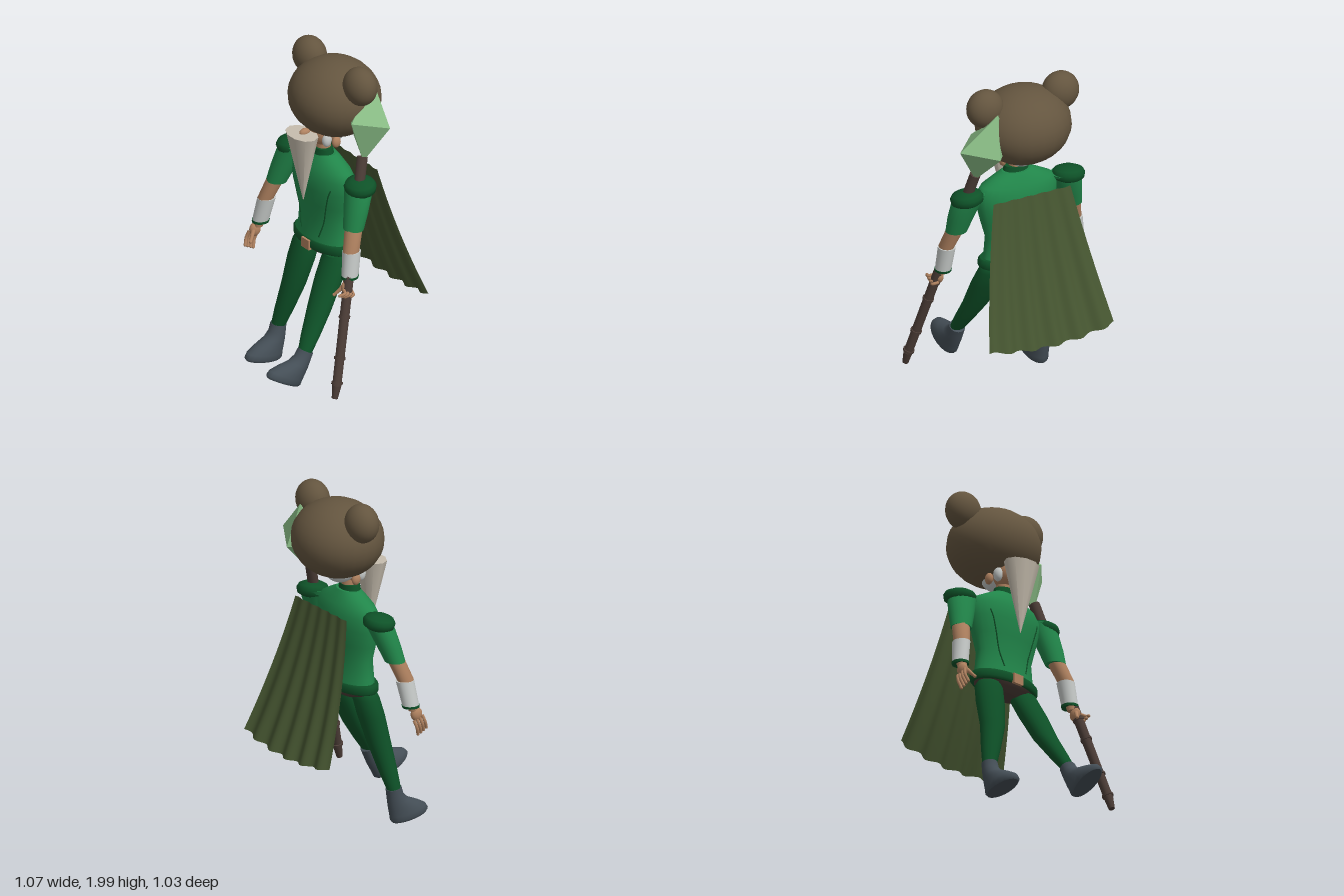
import * as THREE from 'three';

const mat = (name, color, extra = {}) => Object.assign(new THREE.MeshStandardMaterial({ color, ...extra }), { name });
const M = {
  fur: mat('brown fur', 0x64553f),
  shirt: mat('shirt green', 0x21864a),
  dark: mat('dark green', 0x0e5228),
  cape: mat('olive', 0x465631, { side: THREE.DoubleSide }),
  skin: mat('skin', 0xb08260),
  white: mat('pale grey', 0xc6cac8),
  beard: mat('ivory', 0xc6bdae),
  boot: mat('slate', 0x444e56),
  wood: mat('dark wood', 0x4c3d37),
  gem: mat('pale green', 0x8cc088, { flatShading: true }),
};
const V = (x, y, z) => new THREE.Vector3(x, y, z);
const CX = -0.03;

export function createModel() {
  const model = new THREE.Group();
  const add = (name, geo, material, parent = model) => {
    const mesh = new THREE.Mesh(geo, material);
    mesh.name = name;
    parent.add(mesh);
    return mesh;
  };
  const ball = (name, material, p, r, parent = model) => {
    const mesh = add(name, new THREE.SphereGeometry(1, 24, 16), material, parent);
    mesh.position.set(...p);
    mesh.scale.set(...r);
    return mesh;
  };
  // straight round bar between two points
  const rod = (name, material, a, b, ra, rb, parent = model) => {
    const mesh = add(name, new THREE.CylinderGeometry(rb, ra, a.distanceTo(b), 12), material, parent);
    mesh.position.copy(a).lerp(b, 0.5);
    mesh.quaternion.setFromUnitVectors(V(0, 1, 0), b.clone().sub(a).normalize());
    return mesh;
  };
  // capped skin over level ellipses, listed from the bottom up: [x, y, z, rx, rz]
  const loft = (rings, n = 20) => {
    const pos = [], idx = [];
    const ring = ([x, y, z, rx, rz = rx]) => {
      for (let i = 0; i < n; i++) {
        const a = (i / n) * Math.PI * 2;
        pos.push(x + rx * Math.cos(a), y, z + rz * Math.sin(a));
      }
    };
    rings.forEach(ring);
    for (let r = 0; r < rings.length - 1; r++) for (let i = 0; i < n; i++) {
      const a = r * n + i, b = r * n + (i + 1) % n;
      idx.push(a, a + n, b, b, a + n, b + n);
    }
    [rings[0], rings[rings.length - 1]].forEach((s, top) => {
      const base = pos.length / 3;
      ring(s);
      pos.push(s[0], s[1], s[2]);
      for (let i = 0; i < n; i++) {
        const a = base + i, b = base + (i + 1) % n;
        idx.push(base + n, top ? b : a, top ? a : b);
      }
    });
    const g = new THREE.BufferGeometry();
    g.setAttribute('position', new THREE.Float32BufferAttribute(pos, 3));
    g.setIndex(idx);
    g.computeVertexNormals();
    return g;
  };

  // fur hood with round ears, covering a small bearded face
  ball('furHood', M.fur, [CX - 0.003, 1.725, -0.122], [0.284, 0.23, 0.262]);
  for (const s of [-1, 1]) {
    ball('hoodEar', M.fur, [CX + s * 0.243, 1.885, -0.122], [0.112, 0.115, 0.094]);
    ball('faceEar', M.skin, [CX + s * 0.098, 1.485, -0.06], [0.02, 0.035, 0.028]);
    ball('sideburn', M.white, [CX + s * 0.075, 1.505, -0.01], [0.025, 0.045, 0.03]);
  }
  ball('face', M.skin, [CX, 1.545, -0.03], [0.088, 0.1, 0.085]);
  ball('nose', M.skin, [CX - 0.003, 1.552, 0.09], [0.022, 0.024, 0.035]);
  ball('hair', M.white, [CX, 1.535, -0.1], [0.09, 0.085, 0.095]);
  add('neck', loft([[CX, 1.36, -0.04, 0.045], [CX, 1.5, -0.04, 0.045]]), M.skin);
  add('beard', loft([[CX - 0.003, 1.12, 0.1, 0.002], [CX - 0.003, 1.55, 0.11, 0.118, 0.08]], 10), M.beard);

  // shirt, collar, belt and seat
  const torso = [
    [0.83, 0.215, 0.115], [0.9, 0.205, 0.105], [1, 0.197, 0.098], [1.1, 0.225, 0.112], [1.2, 0.25, 0.125],
    [1.28, 0.255, 0.12], [1.33, 0.225, 0.1], [1.37, 0.15, 0.08], [1.4, 0.09, 0.06],
  ].map(([y, rx, rz]) => [CX, y, -0.044, rx, rz]);
  add('shirt', loft(torso, 28), M.shirt);
  add('collar', loft([[CX, 1.365, -0.035, 0.085, 0.06], [CX, 1.4, -0.035, 0.078, 0.056], [CX, 1.43, -0.035, 0.07, 0.052]]), M.dark);
  add('belt', loft([
    [CX, 0.81, -0.043, 0.228, 0.115], [CX, 0.822, -0.043, 0.24, 0.124],
    [CX, 0.853, -0.043, 0.24, 0.124], [CX, 0.866, -0.043, 0.228, 0.115],
  ], 28), M.dark);
  add('buckle', new THREE.BoxGeometry(0.072, 0.06, 0.02), M.skin).position.set(CX - 0.004, 0.832, 0.078);
  add('seat', loft([[CX, 0.765, -0.045, 0.12, 0.06], [CX, 0.79, -0.045, 0.18, 0.095], [CX, 0.812, -0.045, 0.215, 0.108]]), M.wood);

  // front seams laid on the shirt surface
  const frontZ = (x, y) => {
    const i = torso.findIndex((t) => t[1] >= y), a = torso[i - 1], b = torso[i];
    const k = (y - a[1]) / (b[1] - a[1]);
    const rx = a[3] + (b[3] - a[3]) * k, rz = a[4] + (b[4] - a[4]) * k;
    return -0.044 + rz * Math.sqrt(1 - ((x - CX) / rx) ** 2);
  };
  for (const s of [-1, 1]) {
    const pts = [];
    for (let i = 0; i <= 8; i++) {
      const t = i / 8, y = 1.235 - 0.335 * t;
      const x = CX + s * (0.182 - 0.1 * t + 0.012 * Math.sin(t * Math.PI) * (t - 0.6));
      pts.push(V(x, y, frontZ(x, y) + 0.001));
    }
    add('shirtSeam', new THREE.TubeGeometry(new THREE.CatmullRomCurve3(pts), 24, 0.004, 6), M.dark);
  }

  // arms; px lists x at shoulder, upper, mid and end of sleeve, cuff top, cuff end
  const arm = (name, px, side, grips) => {
    const g = new THREE.Group();
    g.name = name;
    model.add(g);
    const [a, b, c, d, e, f] = px;
    const pad = add('shoulderPad', loft([
      [0, -0.045, 0, 0.07, 0.065], [0, -0.03, 0, 0.093, 0.087], [0, 0, 0, 0.098, 0.093],
      [0, 0.022, 0, 0.085, 0.08], [0, 0.036, 0, 0.05, 0.05], [0, 0.04, 0, 0.01, 0.01],
    ]), M.dark, g);
    pad.position.set(b, 1.302, -0.06);
    pad.rotation.set(0.12, 0, -side * 0.08);
    add('sleeve', loft([
      [d, 1.06, 0.01, 0.064, 0.058], [c, 1.15, -0.015, 0.076, 0.068], [b, 1.25, -0.045, 0.088, 0.075], [a, 1.31, -0.06, 0.085, 0.075],
    ]), M.shirt, g);
    add('forearm', loft([
      [f, 0.76, 0.09, 0.026], [f, 0.79, 0.085, 0.032], [e, 0.95, 0.055, 0.044, 0.05], [d, 1.09, 0.005, 0.053, 0.052],
    ]), M.skin, g);
    add('cuff', loft([[f, 0.797, 0.073, 0.046, 0.05], [e, 0.945, 0.052, 0.05, 0.055]]), M.white, g);
    add('cuffTrim', loft([[f, 0.785, 0.075, 0.047, 0.051], [f, 0.8, 0.072, 0.049, 0.053]]), M.dark, g);
    // hand
    const hx = f + side * 0.012;
    ball('palm', M.skin, [hx, 0.738, 0.105], [0.027, 0.042, 0.036], g);
    for (let i = 0; i < 4; i++) {
      const z = 0.078 + i * 0.019;
      const knuckle = V(hx + side * 0.012, 0.71 + i * 0.008, z);
      const mid = grips ? V(hx + 0.045, 0.7 + i * 0.009, z + 0.015) : V(hx + side * 0.022, 0.665 + i * 0.008, z + 0.015);
      const tip = grips ? V(hx + 0.035, 0.69 + i * 0.009, z + 0.045) : V(hx + side * 0.012, 0.618 + i * 0.01, z + 0.03);
      add('finger', new THREE.TubeGeometry(new THREE.CatmullRomCurve3([knuckle, mid, tip]), 8, 0.0095, 8), M.skin, g);
      ball('fingertip', M.skin, tip.toArray(), [0.0095, 0.0095, 0.0095], g);
    }
    const thumbTip = V(hx - side * 0.04, 0.69, 0.165);
    rod('thumb', M.skin, V(hx - side * 0.008, 0.745, 0.12), thumbTip, 0.014, 0.009, g);
    ball('thumbTip', M.skin, thumbTip.toArray(), [0.01, 0.01, 0.01], g);
  };
  arm('rightArm', [-0.335, -0.358, -0.388, -0.413, -0.452, -0.48], -1, false);
  arm('leftArm', [0.275, 0.298, 0.317, 0.329, 0.368, 0.381], 1, true);

  // legs and boots
  const leg = (name, hip, knee, ankle, tilt) => {
    const g = new THREE.Group();
    g.name = name;
    model.add(g);
    const k1 = knee.clone().lerp(hip, 0.6), k2 = knee.clone().lerp(ankle, 0.6);
    const ring = (p, rx, rz = rx) => [p.x, p.y, p.z, rx, rz];
    add('trouserLeg', loft([
      ring(ankle, 0.042), ring(k2, 0.058, 0.055), ring(knee, 0.076, 0.068), ring(k1, 0.089, 0.076),
      ring(hip, 0.088, 0.074), [hip.x, hip.y + 0.03, hip.z, 0.07, 0.06],
    ]), M.dark, g);
    const boot = add('boot', loft([
      [0, -0.203, 0.075, 0.058, 0.115], [0, -0.188, 0.075, 0.068, 0.126], [0, -0.16, 0.07, 0.067, 0.12],
      [0, -0.12, 0.045, 0.061, 0.096], [0, -0.08, 0.015, 0.054, 0.066], [0, -0.04, 0.002, 0.05, 0.05], [0, 0.008, 0, 0.047, 0.046],
    ]), M.boot, g);
    boot.position.copy(ankle);
    boot.rotation.x = -tilt;
  };
  leg('rightLeg', V(-0.168, 0.77, -0.02), V(-0.2, 0.5, 0.045), V(-0.275, 0.213, 0.1), 0.17);
  leg('leftLeg', V(0.11, 0.77, -0.02), V(0.147, 0.5, 0.12), V(0.195, 0.285, 0.255), 0.48);

  // staff with bands and a faceted crystal
  const top = V(0.265, 1.46, -0.1), foot = V(0.508, 0.2, 0.26), tip = V(0.515, 0.125, 0.28);
  const staff = new THREE.Group();
  staff.name = 'staff';
  model.add(staff);
  rod('shaft', M.wood, top, foot, 0.032, 0.027, staff);
  rod('shaftTip', M.wood, foot, tip, 0.027, 0.018, staff);
  for (const t of [0.6, 0.7, 0.88, 0.99]) {
    const at = (u) => top.clone().lerp(foot, u);
    rod('band', M.wood, at(t - 0.005), at(t + 0.005), 0.034, 0.034, staff);
  }
  const upper = V(0.186, 1.885, -0.23), lower = V(0.267, 1.43, -0.105);
  const rim = [V(0.41, 1.675, -0.19), V(0.21, 1.63, -0.305), V(0.06, 1.65, -0.13), V(0.255, 1.685, -0.03)];
  const faces = [];
  rim.forEach((p, i) => {
    const q = rim[(i + 1) % 4];
    faces.push(upper, p, q, lower, q, p);
  });
  const crystal = new THREE.BufferGeometry().setFromPoints(faces);
  crystal.computeVertexNormals();
  add('crystal', crystal, M.gem, staff);

  // flared, pleated cape
  const cape = new THREE.PlaneGeometry(1, 1, 60, 14), cp = cape.attributes.position;
  for (let i = 0; i < cp.count; i++) {
    const u = cp.getX(i) * 2, v = 0.5 - cp.getY(i);
    const wave = Math.cos((u + 0.06) * Math.PI * 5.3) * (0.004 + 0.012 * v);
    cp.setXYZ(i, CX + u * (0.25 + 0.157 * v), 1.315 - v * (0.855 - 0.045 * u * u),
      -0.237 - 0.17 * v - 0.085 * v * v + 0.012 * u * u * v - wave);
  }
  cape.computeVertexNormals();
  add('cape', cape, M.cape);

  return model;
}
